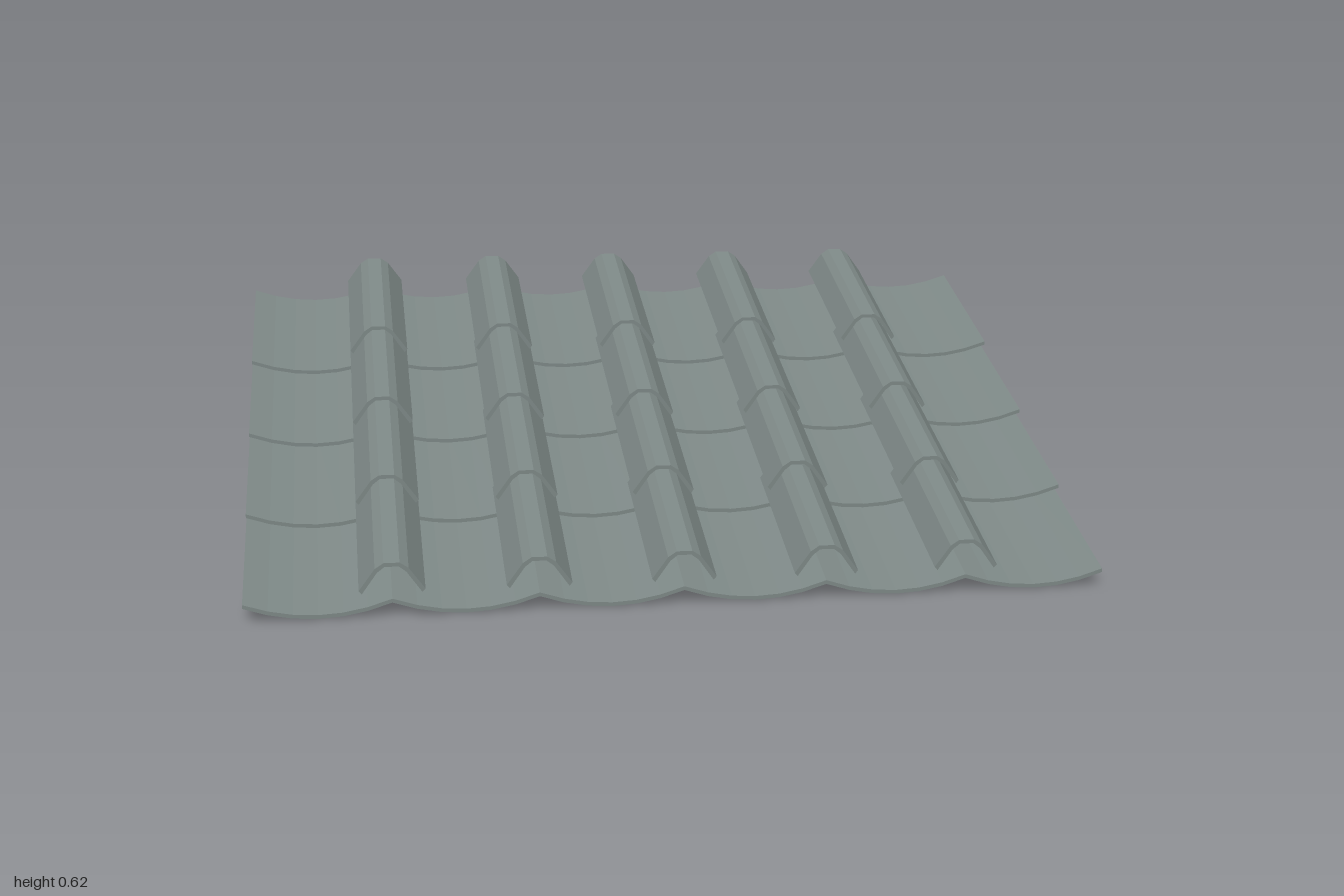
import * as THREE from 'three';

const LENGTH = 0.414; // tile length along z
const SLOPE = 0.297; // pitch of a single tile
const ROWS = 4, COLS = 6;
const STEP_Z = 0.3213, STEP_Y = 0.123; // offset from one course to the next
const FRONT_Z = 0.689;

// Extrude a cross-section backwards from z = 0 and shear it to the roof pitch
function tileGeometry(points) {
  const shape = new THREE.Shape(points.map(([x, y]) => new THREE.Vector2(x, y)));
  const geo = new THREE.ExtrudeGeometry(shape, { depth: LENGTH, bevelEnabled: false });
  geo.translate(0, 0, -LENGTH);
  const p = geo.attributes.position;
  for (let i = 0; i < p.count; i++) p.setY(i, p.getY(i) - p.getZ(i) * SLOPE);
  geo.computeVertexNormals();
  return geo;
}

// Shallow sagging trough, six facets wide
function panProfile() {
  const half = 1 / COLS, sag = 0.031, thick = 0.009, n = 6;
  const under = [], over = [];
  for (let i = 0; i <= n; i++) {
    const x = -half + (2 * half * i) / n;
    const y = 0.002 + sag * (x / half) ** 2;
    under.push([x, y]);
    over.unshift([x, y + thick]);
  }
  return [...under, ...over];
}

// Raised angular cover, a thin open shell
function capProfile() {
  const outer = [[0.075, 0.063], [0.038, 0.113], [0.018, 0.126]];
  const inner = [[0.068, 0.055], [0.033, 0.104], [0.016, 0.117]];
  const arch = (pts) => [...pts, ...pts.map(([x, y]) => [-x, y]).reverse()];
  return [...arch(outer), ...arch(inner).reverse()];
}

export function createModel() {
  const roof = new THREE.Group();
  roof.name = 'tiledRoof';
  const slate = new THREE.MeshStandardMaterial({ color: 0x7b8684, flatShading: true });
  slate.name = 'slateGrey';
  const panGeo = tileGeometry(panProfile());
  const capGeo = tileGeometry(capProfile());

  for (let r = 0; r < ROWS; r++) {
    const course = new THREE.Group();
    course.name = `tileCourse${r + 1}`;
    course.position.set(0, r * STEP_Y, FRONT_Z - r * STEP_Z);
    // Trough tiles side by side
    for (let c = 0; c < COLS; c++) {
      const pan = new THREE.Mesh(panGeo, slate);
      pan.name = 'panTile';
      pan.position.x = -1 + (2 * c + 1) / COLS;
      course.add(pan);
    }
    // Cover tiles over the inner joints
    for (let c = 1; c < COLS; c++) {
      const cap = new THREE.Mesh(capGeo, slate);
      cap.name = 'capTile';
      cap.position.x = -1 + (2 * c) / COLS;
      course.add(cap);
    }
    roof.add(course);
  }
  return roof;
}
